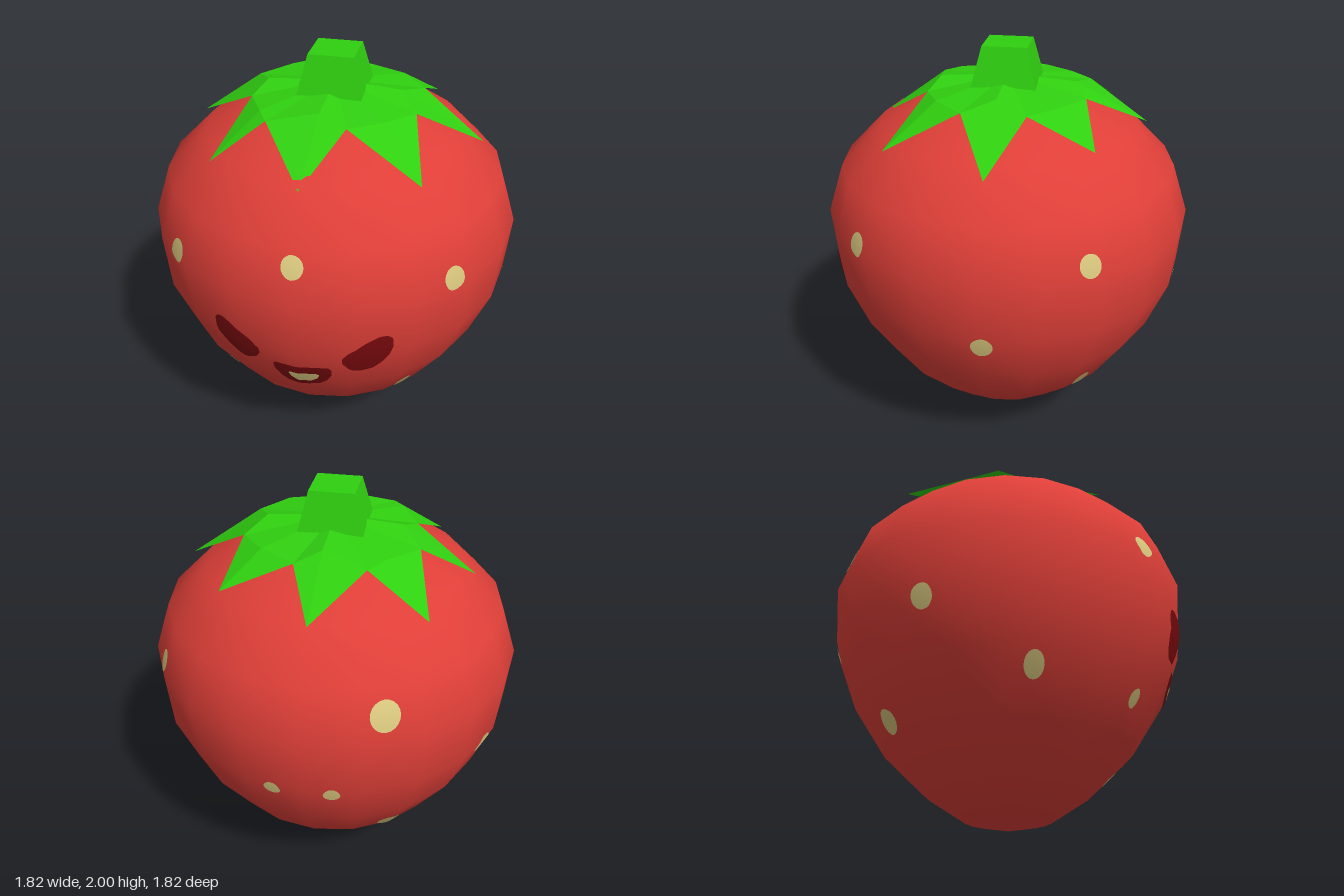
import * as THREE from 'three';

const paint = (name, color, side = THREE.FrontSide, flatShading = false) =>
  Object.assign(new THREE.MeshStandardMaterial({ color, side, flatShading }), { name });

export function createModel() {
  const model = new THREE.Group();
  model.name = 'strawberry';
  const red = paint('berry red', 0xdf3f38);
  const green = paint('leaf green', 0x30d010, THREE.DoubleSide, true);
  const cream = paint('seed cream', 0xdcca80);
  const dark = paint('face dark red', 0x7c0a0e);

  const add = (name, geometry, material) => {
    const mesh = new THREE.Mesh(geometry, material);
    mesh.name = name;
    model.add(mesh);
    return mesh;
  };

  // Berry body: 20-sided smooth lathe
  const profile = [[0, 0], [0.22, 0.05], [0.42, 0.18], [0.62, 0.37], [0.79, 0.63], [0.89, 0.89],
    [0.912, 1.18], [0.83, 1.42], [0.63, 1.62], [0.35, 1.76], [0, 1.81]];
  const body = add('berry', new THREE.LatheGeometry(
    profile.map(([r, y]) => new THREE.Vector2(r, y)), 20), red);

  // Finds the berry surface below a point, looking along -dir
  const caster = new THREE.Raycaster();
  const hitBody = (point, dir) => {
    for (let k = 0; k < 5; k++) {
      const origin = point.clone().addScaledVector(dir, 1);
      origin.x += 0.0003 * k;
      origin.y += 0.0002 * k;
      caster.set(origin, dir.clone().negate());
      const hit = caster.intersectObject(body)[0];
      if (hit) return hit;
    }
    return { point: point.clone(), normal: dir.clone() };
  };

  // Thin patch: a 2D outline laid onto the berry in concentric rings
  const decal = (name, outline, centre, dir, material, lift) => {
    const U = new THREE.Vector3(0, 1, 0).cross(dir).normalize();
    const V = dir.clone().cross(U);
    if (THREE.ShapeUtils.isClockWise(outline)) outline = outline.slice().reverse();
    const n = outline.length, rings = 6;
    const mid = outline.reduce((m, p) => m.addScaledVector(p, 1 / n), new THREE.Vector2());
    const pos = [], nor = [], index = [];
    const put = (p) => {
      const hit = hitBody(centre.clone().addScaledVector(U, p.x).addScaledVector(V, p.y), dir);
      pos.push(...hit.point.addScaledVector(hit.normal, lift).toArray());
      nor.push(...hit.normal.toArray());
    };
    put(mid);
    for (let r = 1; r <= rings; r++) outline.forEach((p) => put(mid.clone().lerp(p, r / rings)));
    for (let i = 0; i < n; i++) {
      const j = (i + 1) % n;
      index.push(0, 1 + i, 1 + j);
      for (let r = 0; r < rings - 1; r++) {
        const a = 1 + r * n, b = a + n;
        index.push(a + i, b + i, b + j, a + i, b + j, a + j);
      }
    }
    const g = new THREE.BufferGeometry();
    g.setAttribute('position', new THREE.Float32BufferAttribute(pos, 3));
    g.setAttribute('normal', new THREE.Float32BufferAttribute(nor, 3));
    g.setIndex(index);
    add(name, g, material);
  };

  // Seeds: x, y, z, half width, half height
  const seeds = [
    [0, 1.35, 0.85, 0.05, 0.056], [-0.61, 1.21, 0.66, 0.056, 0.058], [0.67, 1.21, 0.59, 0.054, 0.058],
    [-0.41, 0.52, 0.59, 0.038, 0.05], [0.45, 0.42, 0.46, 0.042, 0.068], [0.01, 0.25, 0.49, 0.03, 0.054],
    [-0.73, 0.56, 0.13, 0.045, 0.066], [0.75, 1.24, -0.48, 0.05, 0.055], [0.87, 0.85, -0.02, 0.051, 0.063],
    [0.47, 0.42, -0.45, 0.042, 0.068], [-0.36, 1.3, -0.79, 0.07, 0.075], [0.14, 0.87, -0.87, 0.04, 0.045],
    [-0.14, 0.87, -0.87, 0.04, 0.045], [-0.8, 0.86, -0.36, 0.055, 0.06], [-0.385, 0.43, -0.56, 0.06, 0.065],
  ];
  for (const [x, y, z, rx, ry] of seeds) {
    const hit = hitBody(new THREE.Vector3(x, y, z), new THREE.Vector3(x, 0, z).normalize());
    const oval = new THREE.EllipseCurve(0, 0, rx, ry).getPoints(20).slice(0, -1);
    decal('seed', oval, hit.point, hit.normal.clone().normalize(), cream, 0.004);
  }

  // Face, laid on from the front
  const front = new THREE.Vector3(0, 0, 1);
  const facePart = (name, points, material, lift) => {
    const path = new THREE.Path(points.map(([x, y]) => new THREE.Vector2(x, y)));
    path.closePath();
    decal(name, path.getSpacedPoints(48).slice(0, -1), new THREE.Vector3(0, 0, 0.6), front, material, lift);
  };
  const eye = [[0.413, 0.92], [0.412, 0.975], [0.39, 0.997], [0.355, 0.997], [0.3, 0.97], [0.225, 0.915],
    [0.195, 0.875], [0.193, 0.83], [0.22, 0.78], [0.27, 0.757], [0.32, 0.765], [0.36, 0.805], [0.395, 0.865]];
  for (const side of [-1, 1])
    facePart(side > 0 ? 'leftEye' : 'rightEye', eye.map(([x, y]) => [0.022 + side * x, y]), dark, 0.004);
  const mirror = (half) => [...half, ...half.slice().reverse().map(([x, y]) => [-x, y])]
    .map(([x, y]) => [x + 0.022, y]);
  facePart('mouth', mirror([[0.125, 0.78], [0.14, 0.76], [0.135, 0.71], [0.11, 0.66], [0.07, 0.625],
    [0.02, 0.613]]), dark, 0.004);
  facePart('teeth', mirror([[0.06, 0.727], [0.074, 0.715], [0.06, 0.682], [0.03, 0.66]])
    .map(([x, y]) => [x + 0.006, y]), cream, 0.008);

  // Leaf crown: eight slightly uneven leaves, [x, y, z] of each tip and following valley
  const tips = [[-0.02, 1.6, 0.65], [0.49, 1.6, 0.5], [0.72, 1.59, -0.01], [0.45, 1.64, -0.46],
    [0, 1.64, -0.68], [-0.5, 1.61, -0.5], [-0.68, 1.61, -0.03], [-0.48, 1.6, 0.48]];
  const valleys = [[0.13, 1.775, 0.37], [0.41, 1.775, 0.15], [0.41, 1.775, -0.15], [0.12, 1.775, -0.39],
    [-0.21, 1.775, -0.39], [-0.42, 1.775, -0.15], [-0.38, 1.775, 0.12], [-0.24, 1.775, 0.37]];
  const ridges = tips.map((_, i) => {
    const a = i * Math.PI / 4, r = i % 2 ? 0.41 : 0.33;
    return [r * Math.sin(a), i % 2 ? 1.785 : 1.82, r * Math.cos(a)];
  });
  const crown = [], top = [0, 1.845, 0];
  for (let i = 0; i < 8; i++) {
    const j = (i + 1) % 8, before = valleys[(i + 7) % 8];
    crown.push(top, ridges[i], valleys[i], top, valleys[i], ridges[j]);
    crown.push(ridges[i], tips[i], valleys[i], ridges[i], before, tips[i]);
  }
  const crownGeometry = new THREE.BufferGeometry();
  crownGeometry.setAttribute('position', new THREE.Float32BufferAttribute(crown.flat(), 3));
  crownGeometry.computeVertexNormals();
  add('leafCrown', crownGeometry, green);

  // Stem: tapered square post
  const stem = new THREE.CylinderGeometry(0.108 * Math.SQRT2, 0.162 * Math.SQRT2, 0.22, 4);
  stem.rotateY(Math.PI / 4).translate(0, 1.89, 0);
  add('stem', stem, green);

  return model;
}
